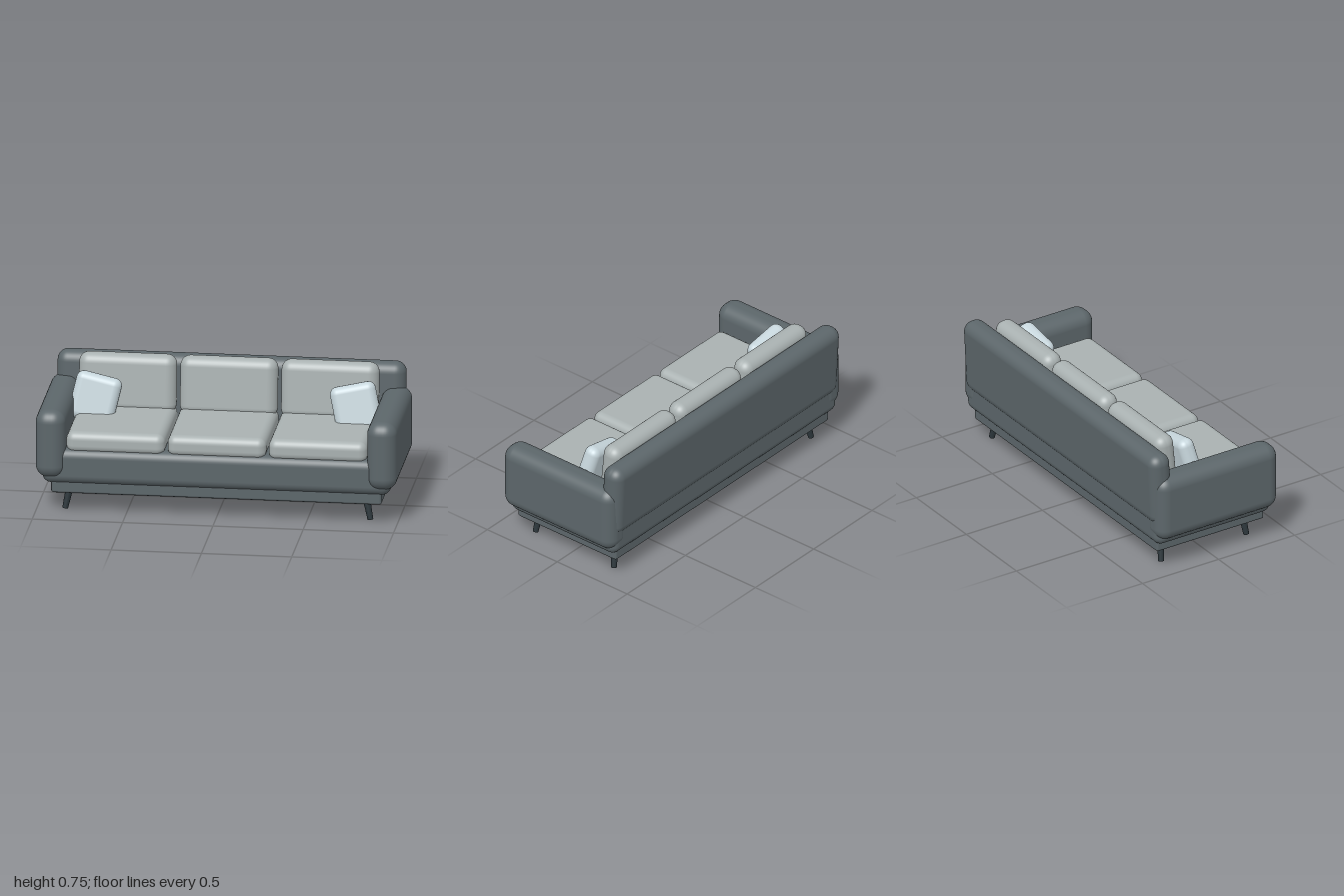
import * as THREE from 'three';
import { RoundedBoxGeometry } from 'three/addons/geometries/RoundedBoxGeometry.js';

const material = (color) => new THREE.MeshStandardMaterial({ color });

export function createModel() {
  const sofa = new THREE.Group();
  sofa.name = 'sofa';

  const frameFabric = material(0x5c666a);
  const cushionFabric = material(0xa9b1b1);
  const pillowFabric = material(0xc6d5db);
  const legWood = material(0x2c363b);

  // Soft block given by its size, centre and edge radius
  function block(name, size, centre, radius, mat, segments = 5) {
    const mesh = new THREE.Mesh(new RoundedBoxGeometry(...size, segments, radius), mat);
    mesh.name = name;
    mesh.position.set(...centre);
    sofa.add(mesh);
    return mesh;
  }

  // Frame: chamfered plinth, padded base and leaning backrest
  block('plinth', [1.83, 0.09, 0.705], [0, 0.153, 0.004], 0.014, frameFabric, 1);
  block('base', [1.93, 0.2, 0.755], [0, 0.265, 0.002], 0.05, frameFabric);
  block('backrest', [1.93, 0.43, 0.132], [0, 0.505, -0.333], 0.06, frameFabric).rotation.x = -0.05;

  // Three seat cushions, each with a leaning back cushion
  for (const x of [-0.56, 0, 0.56]) {
    block('seatCushion', [0.545, 0.12, 0.62], [x, 0.4, 0.054], 0.045, cushionFabric);
    block('backCushion', [0.54, 0.33, 0.12], [x, 0.581, -0.212], 0.055, cushionFabric).rotation.x = -0.1;
  }

  for (const side of [1, -1]) {
    const label = side > 0 ? 'left' : 'right';

    // Armrest
    block(label + 'Arm', [0.165, 0.387, 0.788], [side * 0.9175, 0.392, 0.015], 0.07, frameFabric);

    // Throw pillow tilted into the corner
    const pillow = block(label + 'Pillow', [0.255, 0.265, 0.095],
      [side * 0.722, 0.533, -0.058], 0.042, pillowFabric);
    pillow.rotation.set(-0.2, 0, side * 0.22);

    // Tapered legs splayed outward
    for (const end of [1, -1]) {
      const foot = new THREE.Vector3(side * 0.845, 0.002, end * 0.28 + 0.004);
      const top = new THREE.Vector3(side * 0.82, 0.125, end * 0.267 + 0.004);
      const axis = top.clone().sub(foot);
      const leg = new THREE.Mesh(new THREE.CylinderGeometry(0.021, 0.016, axis.length(), 16), legWood);
      leg.name = label + (end > 0 ? 'Front' : 'Back') + 'Leg';
      leg.position.copy(foot).add(top).multiplyScalar(0.5);
      leg.quaternion.setFromUnitVectors(new THREE.Vector3(0, 1, 0), axis.normalize());
      sofa.add(leg);
    }
  }

  return sofa;
}
